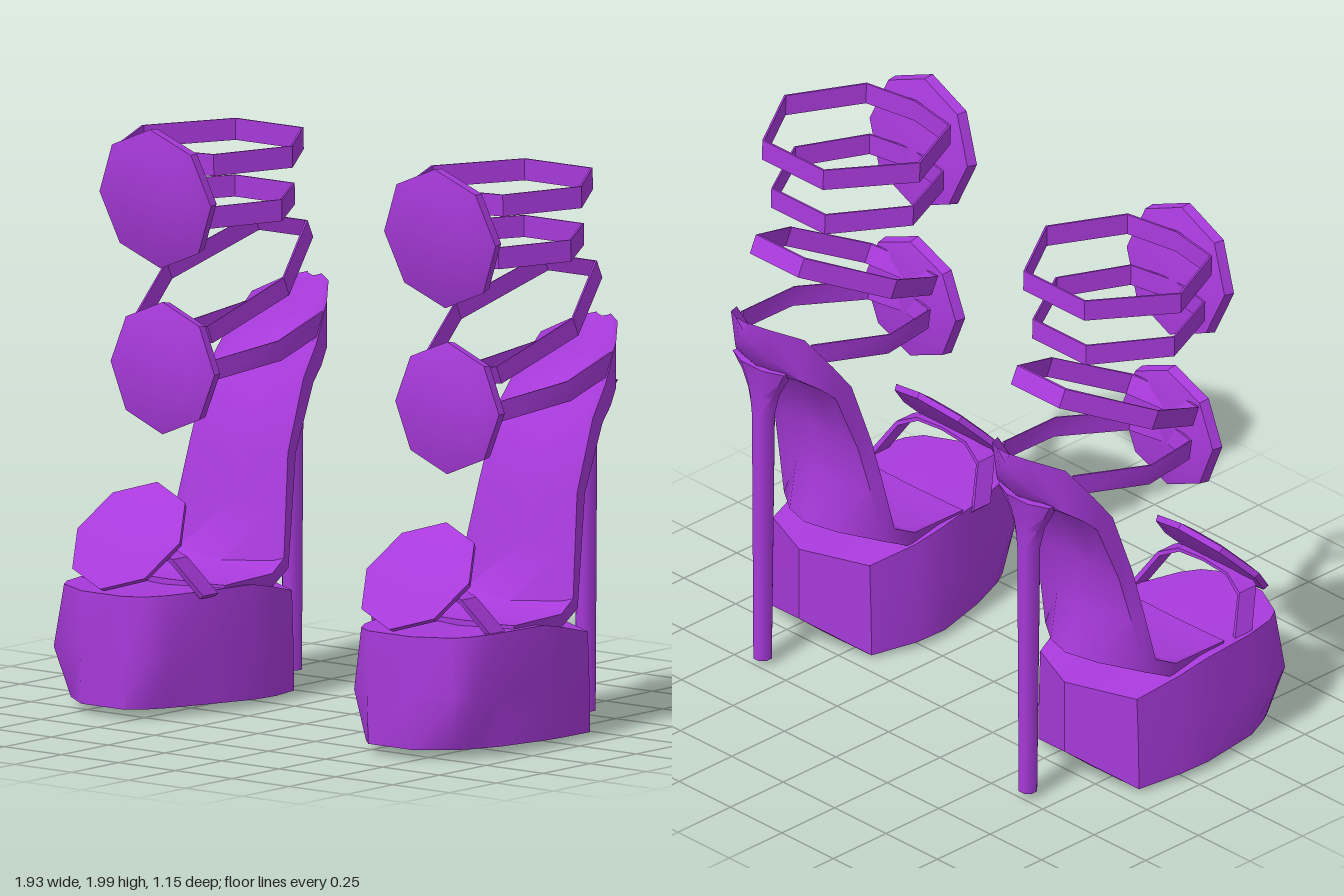
import * as THREE from 'three';
import { toCreasedNormals } from 'three/addons/utils/BufferGeometryUtils.js';

const purple = new THREE.MeshStandardMaterial({ color: 0xa83adb, side: THREE.DoubleSide });
purple.name = 'purple';

function part(name, geometry, parent) {
  const mesh = new THREE.Mesh(geometry, purple);
  mesh.name = name;
  parent.add(mesh);
  return mesh;
}

// Skin over closed cross-sections, capped at both ends
function loft(rings, crease) {
  const n = rings[0].length;
  const points = rings.flat();
  const index = [];
  for (let i = 0; i < rings.length - 1; i++) {
    for (let j = 0; j < n; j++) {
      const a = i * n + j, b = i * n + (j + 1) % n;
      index.push(a, b, b + n, a, b + n, a + n);
    }
  }
  [0, rings.length - 1].forEach((r, end) => {
    const c = points.length;
    points.push([0, 1, 2].map(k => rings[r].reduce((s, p) => s + p[k], 0) / n));
    for (let j = 0; j < n; j++) {
      const a = r * n + j, b = r * n + (j + 1) % n;
      index.push(c, end ? a : b, end ? b : a);
    }
  });
  const g = new THREE.BufferGeometry();
  g.setAttribute('position', new THREE.Float32BufferAttribute(points.flat(), 3));
  g.setIndex(index);
  return toCreasedNormals(g, crease);
}

// Right half of a path (from the middle outwards) mirrored into a full one
const mirrored = half => [
  ...half.slice().reverse().map(([x, y, z]) => [-x, y, z]),
  ...half.filter(p => p[0] > 0.001),
];

// Platform plan: x, z, top y, bottom y, rounding; toe first, then outer side, heel end, inner side
const PLATFORM = [
  [-0.10, 0.57, 0.43, 0.04, 0.1],
  [0.09, 0.57, 0.43, 0.04, 0.1],
  [0.245, 0.52, 0.43, 0.04, 0.9],
  [0.282, 0.46, 0.43, 0.04, 0.9],
  [0.287, 0.33, 0.43, 0.04, 0.2],
  [0.30, 0.10, 0.43, 0.035, 0],
  [0.29, -0.02, 0.405, 0.03, 0],
  [0.255, -0.185, 0.365, 0.02, 0],
  [0.01, -0.295, 0.38, 0.11, 0],
  [-0.225, -0.185, 0.365, 0.02, 0],
  [-0.28, -0.02, 0.405, 0.03, 0],
  [-0.29, 0.10, 0.43, 0.035, 0],
  [-0.255, 0.30, 0.43, 0.04, 0.2],
  [-0.22, 0.47, 0.43, 0.04, 0.7],
  [-0.18, 0.54, 0.43, 0.04, 0.7],
];

function platform(side) {
  // t runs from bottom to top, inset pulls the rounded toe corners inwards
  const ring = (t, inset, flare) => {
    const r = PLATFORM.map(([x, z, yt, yb, k]) => [
      x * (1 - k * inset) * flare * side,
      THREE.MathUtils.lerp(yb, yt, t),
      z - (z - 0.3) * k * inset,
    ]);
    return side < 0 ? r.reverse() : r;
  };
  const bottom = ring(0, 0.2, 1.02);
  const tread = bottom.map(([x, , z]) => [x * 0.3, 0.008, -0.12 + (z + 0.12) * 0.3]);
  return loft([tread, bottom, ring(0.45, 0, 1.01), ring(1, 0.1, 0.98)], 0.78);
}

// Sole stations: half width, then z, y of rim top, rim bottom, footbed middle and underside middle
const SOLE = [
  [0.26, 0.22, 0.44, 0.22, 0.40, 0.22, 0.435, 0.22, 0.40],
  [0.27, -0.02, 0.45, -0.02, 0.39, -0.02, 0.44, -0.02, 0.39],
  [0.255, -0.10, 0.49, -0.14, 0.45, -0.075, 0.46, -0.28, 0.485],
  [0.235, -0.135, 0.67, -0.185, 0.66, -0.15, 0.66, -0.23, 0.66],
  [0.215, -0.17, 0.84, -0.225, 0.83, -0.19, 0.83, -0.235, 0.85],
  [0.21, -0.26, 1.085, -0.325, 1.06, -0.285, 1.07, -0.325, 1.08],
  [0.20, -0.34, 1.19, -0.38, 1.11, -0.37, 1.15, -0.41, 1.12],
  [0.165, -0.44, 1.32, -0.45, 1.16, -0.46, 1.21, -0.46, 1.14],
  [0.09, -0.54, 1.37, -0.525, 1.24, -0.52, 1.27, -0.515, 1.19],
  [0.03, -0.575, 1.385, -0.565, 1.30, -0.565, 1.375, -0.56, 1.285],
];

function sole() {
  return loft(SOLE.map(([w, zt, yt, zb, yb, zf, yf, zu, yu]) => [
    [-w, yt, zt], [-w * 0.82, yt * 0.6 + yf * 0.4, zt * 0.6 + zf * 0.4], [0, yf, zf],
    [w * 0.82, yt * 0.6 + yf * 0.4, zt * 0.6 + zf * 0.4], [w, yt, zt],
    [w * 0.95, yb, zb], [w * 0.45, yb * 0.3 + yu * 0.7, zb * 0.3 + zu * 0.7], [0, yu, zu],
    [-w * 0.45, yb * 0.3 + yu * 0.7, zb * 0.3 + zu * 0.7], [-w * 0.95, yb, zb],
  ]), 0.8);
}

// Slim heel flaring sideways into the heel cup: y, x radius, z radius, z
function heel() {
  const stations = [
    [0.03, 0.034, 0.034, -0.468], [0.98, 0.042, 0.042, -0.464],
    [1.06, 0.062, 0.046, -0.462], [1.12, 0.095, 0.055, -0.458], [1.18, 0.135, 0.058, -0.466],
  ];
  return loft(stations.map(([y, rx, rz, z]) => Array.from({ length: 8 }, (_, i) => {
    const a = (i + 0.5) * Math.PI / 4;
    return [Math.sin(a) * rx, y, z + Math.cos(a) * rz];
  })), 0.9);
}

// Domed eight-sided disc facing +z, with a thick rim
function disc(r, depth) {
  const profile = [[0, -0.5], [0.7, -0.42], [0.97, -0.28], [1, 0.15], [0.65, 0.4], [0, 0.5]];
  const g = new THREE.LatheGeometry(profile.map(([x, y]) => new THREE.Vector2(x * r, y * depth)), 8);
  return toCreasedNormals(g.rotateX(Math.PI / 2), 0.7);
}

// Ankle band: half width, front z and y, rear z and y, height; open bands stop at the heel cup
const LOOP = [[0, 0], [0.62, 0.06], [1, 0.52], [0.45, 1], [0, 1]];
const OPEN_LOOP = [[0, 0], [0.62, 0.06], [1, 0.5], [0.72, 1]];
function ankleStrap(w, zf, yf, zr, yr, h, open) {
  const { lerp } = THREE.MathUtils;
  const line = mirrored((open ? OPEN_LOOP : LOOP).map(([x, t]) => [x * w, lerp(yf, yr, t), lerp(zf, zr, t)]));
  if (!open) line.push(line[0]);
  const mid = (zf + zr) / 2;
  const lean = (h / 2) * (yr - yf) / (zf - zr);
  return loft(line.map(([x, y, z]) => {
    const xi = x * 0.975, zi = mid + (z - mid) * 0.975;
    return [
      [x, y + h / 2, z + lean], [xi, y + h / 2, zi + lean],
      [xi, y - h / 2, zi - lean], [x, y - h / 2, z - lean],
    ];
  }), 0.6);
}

// Toe strap: a thin arch given by x, y, front z
function toeStrap() {
  const arch = mirrored([[0, 0.6, 0.45], [0.12, 0.59, 0.45], [0.2, 0.55, 0.43], [0.265, 0.42, 0.345]]);
  return loft(arch.map(([x, y, z]) => [
    [x * 0.95, y - 0.012, z], [x * 0.95, y - 0.012, z - 0.08], [x, y, z - 0.08], [x, y, z],
  ]), 0.6);
}

function createShoe(side) {
  const shoe = new THREE.Group();
  shoe.name = side > 0 ? 'leftShoe' : 'rightShoe';
  shoe.position.x = 0.635 * side;

  part('platform', platform(side), shoe);
  part('sole', sole(), shoe);
  part('heel', heel(), shoe).position.x = 0.01 * side;

  // Toe strap and its disc
  part('toeStrap', toeStrap(), shoe);
  const toeDisc = part('toeDisc', disc(0.225, 0.05), shoe);
  toeDisc.position.set(0, 0.605, 0.415);
  toeDisc.rotation.x = -0.75;

  // Ankle discs
  const lowerDisc = part('lowerAnkleDisc', disc(0.228, 0.09), shoe);
  lowerDisc.position.set(-0.01 * side, 1.165, 0.238);
  const upperDisc = part('upperAnkleDisc', disc(0.245, 0.09), shoe);
  upperDisc.position.set(-0.01 * side, 1.755, 0.277);
  upperDisc.rotation.x = 0.12;

  // Ankle straps, top to bottom
  const straps = [
    [0.33, 0.25, 1.88, -0.335, 1.895, 0.075],
    [0.29, 0.24, 1.695, -0.31, 1.705, 0.075],
    [0.26, 0.22, 1.27, -0.41, 1.57, 0.062],
    [0.235, 0.21, 1.15, -0.42, 1.255, 0.07, true],
  ];
  straps.forEach((s, i) => part('ankleStrap' + (i + 1), ankleStrap(...s), shoe));
  return shoe;
}

export function createModel() {
  const model = new THREE.Group();
  model.name = 'platformHeels';
  for (const side of [1, -1]) model.add(createShoe(side));
  return model;
}
